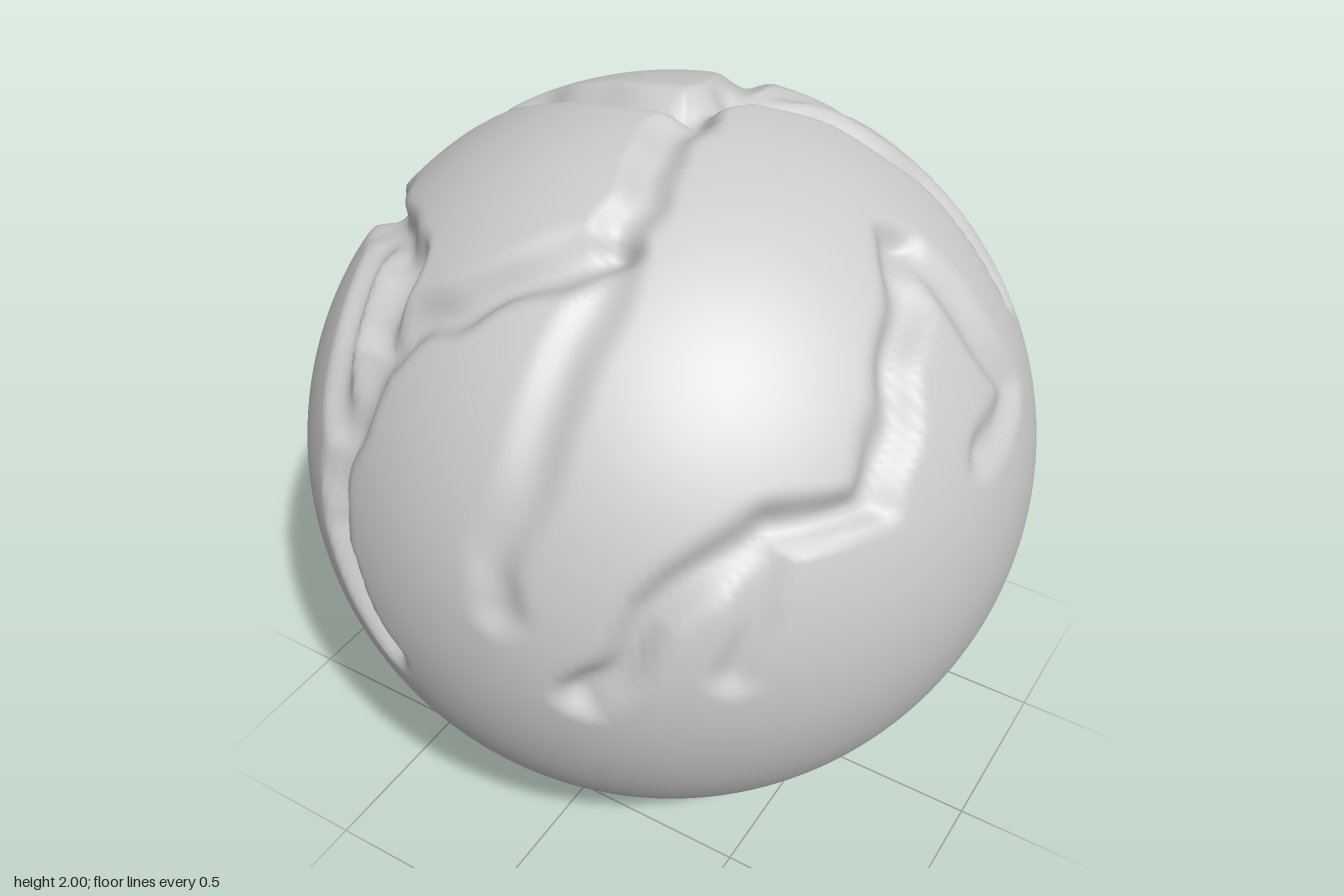
import * as THREE from 'three';
import { mergeVertices } from 'three/addons/utils/BufferGeometryUtils.js';

const WIDTH = 0.085;

// Direction from the ball's centre: degrees around from the front, degrees above the equator
function direction([around, above]) {
  const rad = THREE.MathUtils.degToRad;
  return new THREE.Vector3().setFromSphericalCoords(1, rad(90 - above), rad(around));
}

function crease(depth, ...corners) {
  return { depth, path: corners.map(direction) };
}

const crown = [135, 87];
const backFork = [163, 76];
const frontFork = [17, 62];
const creases = [
  // ledge from the crown down the side
  crease(0.06, crown, [-97, 66], [-97, 0]),
  // crown to the back quarter, with branches over the back
  crease(0.055, crown, backFork, [131, 48], [120, 30]),
  crease(0.03, backFork, [157, 3]),
  crease(0.03, backFork, [-159, 37], [-127, 24]),
  crease(0.035, [-159, 37], [-166, 14]),
  crease(0.035, [154, 25], [170, 25], [177, 10]),
  // crown forward, then diagonally across the front and down
  crease(0.035, crown, frontFork),
  crease(0.06, frontFork, [-28, 35], [-27, 5], [-16, -8]),
  crease(0.025, frontFork, [7, 11]),
  // jagged side crease between the ledge and the front
  crease(0.055, [-93, 18], [-73, 40], [-37, 46], [-32, 37]),
  crease(0.05, [-73, 40], [-69, 16]),
  crease(0.035, [-54, 44], [-30, 21]),
  // front quarter zigzag
  crease(0.05, [95, 52], [61, 24], [45, 24], [29, 13], [20, -2]),
  crease(0.03, [45, 24], [40, 3]),
  crease(0.03, [95, 52], [98, 25], [85, 21]),
];

const segment = new THREE.Line3();
const nearest = new THREE.Vector3();

function pathDistance(point, path) {
  let best = Infinity;
  for (let i = 0; i < path.length - 1; i++) {
    segment.set(path[i], path[i + 1]);
    segment.closestPointToPoint(point, true, nearest);
    best = Math.min(best, nearest.normalize().distanceTo(point));
  }
  return best;
}

// Soft wobble that keeps the creases from running dead straight
function wobble(p) {
  const f = (a, b) => Math.sin(17 * a + 3 * Math.sin(9 * b)) * 0.014 + Math.sin(37 * b + 11 * a) * 0.006;
  return new THREE.Vector3(p.x + f(p.y, p.z), p.y + f(p.z, p.x), p.z + f(p.x, p.y)).normalize();
}

function radiusAt(point) {
  const p = wobble(point);
  let cut = 0;
  for (const { depth, path } of creases) {
    const t = Math.min(pathDistance(p, path) / WIDTH, 1);
    const d = depth * (1 - t * t) ** 2;
    // crossing creases deepen each other slightly
    cut = Math.max(cut, d) + 0.25 * Math.min(cut, d);
  }
  return 1 - Math.min(cut, 0.075);
}

export function createModel() {
  const group = new THREE.Group();
  group.name = 'creasedBall';

  // Smooth ball with creases pressed into its upper half
  let geometry = new THREE.SphereGeometry(1, 260, 180);
  geometry.deleteAttribute('uv');
  geometry.deleteAttribute('normal');
  geometry = mergeVertices(geometry, 1e-5);
  const position = geometry.attributes.position;
  const v = new THREE.Vector3();
  for (let i = 0; i < position.count; i++) {
    v.fromBufferAttribute(position, i).normalize();
    v.multiplyScalar(radiusAt(v));
    position.setXYZ(i, v.x, v.y + 1, v.z);
  }
  geometry.computeVertexNormals();

  const ball = new THREE.Mesh(geometry, new THREE.MeshStandardMaterial({ color: 0xcccccc }));
  ball.name = 'ball';
  group.add(ball);
  return group;
}
